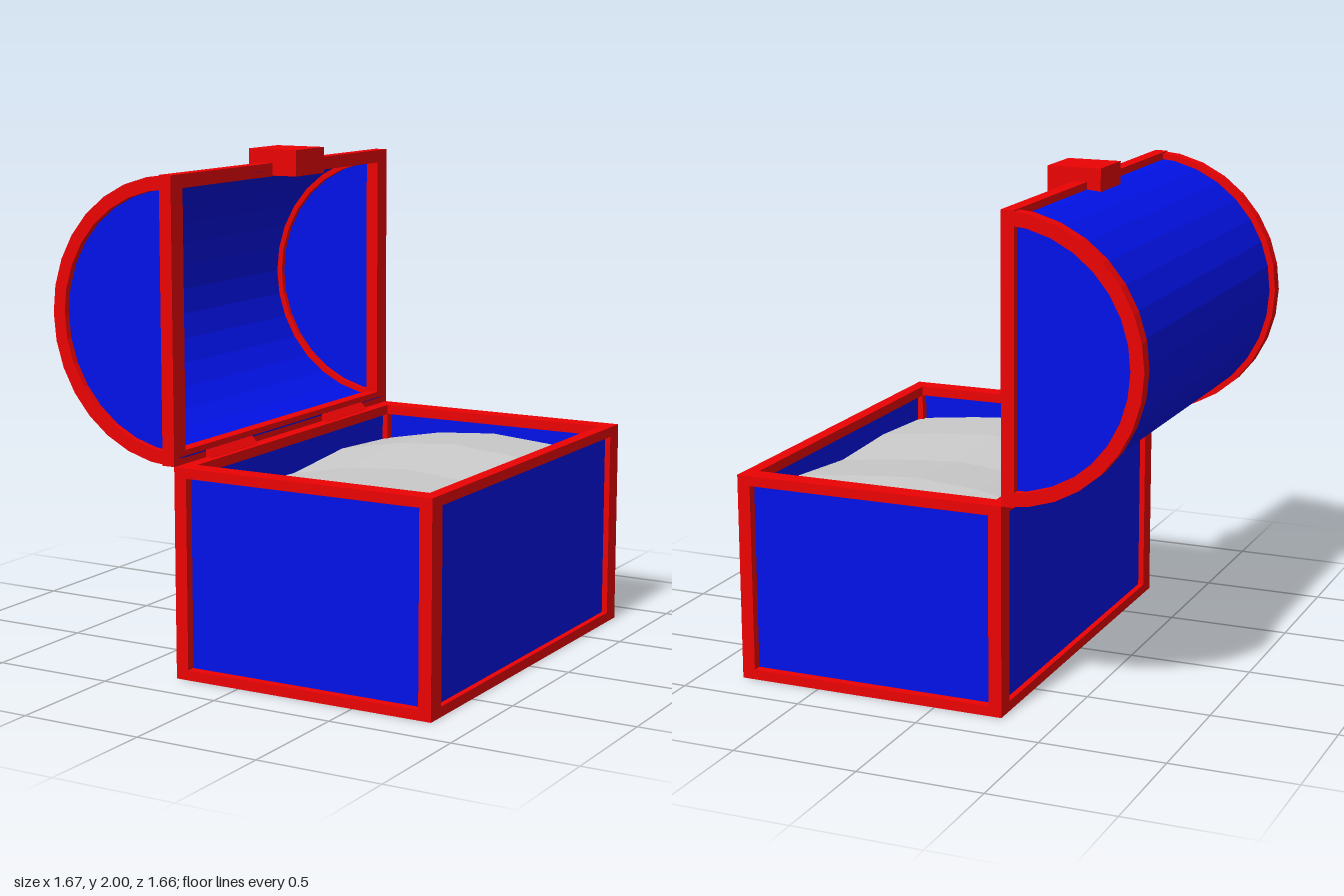
import * as THREE from 'three';

const red = new THREE.MeshStandardMaterial({ color: 0xec0204, flatShading: true });
const blue = new THREE.MeshStandardMaterial({ color: 0x0212e8, flatShading: true });
const grey = new THREE.MeshStandardMaterial({ color: 0xcccccc, flatShading: true, side: THREE.DoubleSide });

function add(parent, name, geometry, material) {
  const mesh = new THREE.Mesh(geometry, material);
  mesh.name = name;
  parent.add(mesh);
  return mesh;
}

// Box given by its lower and upper corners
function block(parent, name, material, [x0, y0, z0], [x1, y1, z1]) {
  const geometry = new THREE.BoxGeometry(x1 - x0, y1 - y0, z1 - z0);
  add(parent, name, geometry, material).position.set((x0 + x1) / 2, (y0 + y1) / 2, (z0 + z1) / 2);
}

const L = -0.28, R = 0.832, H = 0.835, Z = 0.832; // chest extents
const BX = 0.053, BY = 0.04, BZ = 0.08;           // frame bar thickness per axis
const LID_Y = 1.39, LID_R = 0.555;                // axis and radius of the open lid

// Half circle bulging toward -x, from top to bottom
function arc(radius, segments = 16) {
  return Array.from({ length: segments + 1 }, (_, i) => {
    const a = Math.PI / 2 + (Math.PI * i) / segments;
    return new THREE.Vector2(L + radius * Math.cos(a), LID_Y + radius * Math.sin(a));
  });
}

function extrudeZ(parent, name, material, points, z0, z1) {
  const geometry = new THREE.ExtrudeGeometry(new THREE.Shape(points), { depth: z1 - z0, bevelEnabled: false });
  add(parent, name, geometry, material).position.z = z0;
}

const halfRing = (outer, inner) => [...arc(outer), ...arc(inner).reverse()];

function buildChest() {
  const chest = new THREE.Group();
  chest.name = 'chest';
  // Corner posts and the bars of the bottom and top rims
  for (const x of [L, R - BX]) {
    for (const z of [-Z, Z - BZ]) block(chest, 'cornerPost', red, [x, 0, z], [x + BX, H, z + BZ]);
    for (const y of [0, H - BY]) block(chest, 'sideBar', red, [x, y, -Z + BZ], [x + BX, y + BY, Z - BZ]);
  }
  for (const z of [-Z, Z - BZ])
    for (const y of [0, H - BY]) block(chest, 'endBar', red, [L + BX, y, z], [R - BX, y + BY, z + BZ]);

  // Thin panels set into the middle of the bars, with a recessed bottom
  const t = 0.003, top = H - 0.02, floor = 0.038;
  for (const x of [L + BX / 2, R - BX / 2])
    block(chest, 'sidePanel', blue, [x - t, floor, -Z + BZ / 2], [x + t, top, Z - BZ / 2]);
  for (const z of [-Z + BZ / 2, Z - BZ / 2])
    block(chest, 'endPanel', blue, [L + BX / 2, floor, z - t], [R - BX / 2, top, z + t]);
  block(chest, 'bottomPanel', blue, [L + BX / 2, floor - t, -Z + BZ / 2], [R - BX / 2, floor + t, Z - BZ / 2]);
  return chest;
}

function buildLid() {
  const lid = new THREE.Group();
  lid.name = 'lid';
  const y0 = LID_Y - LID_R, y1 = LID_Y + LID_R, b = 0.053;
  // Rectangular rim around the opening
  for (const y of [y0, y1 - b]) block(lid, 'rimBar', red, [L - b, y, -Z], [L, y + b, Z]);
  for (const z of [-Z, Z - BZ]) block(lid, 'rimPost', red, [L - b, y0 + b, z], [L, y1 - b, z + BZ]);
  // Arched end frames, recessed end panels and the barrel
  for (const s of [-1, 1]) {
    const z = s * (Z - 0.0275);
    extrudeZ(lid, 'archFrame', red, halfRing(LID_R, LID_R - b), z - 0.0275, z + 0.0275);
    extrudeZ(lid, 'archPanel', blue, arc(LID_R - 0.03).map(p => new THREE.Vector2(Math.min(p.x, L - 0.025), p.y)),
      s * 0.802 - 0.003, s * 0.802 + 0.003);
  }
  extrudeZ(lid, 'barrel', blue, halfRing(0.531, 0.525), -0.8, 0.8);
  block(lid, 'latch', red, [-0.39, 1.895, -0.11], [-0.17, 2, 0.11]);
  return lid;
}

// Uneven filling: a coarse grid swelling along x and waving along z
function buildFilling() {
  const swell = [0, 0.05, 0.07, 0.05, 0.02];
  const wave = [0.68, 0.7, 0.665, 0.68, 0.66];
  const geometry = new THREE.PlaneGeometry(1.05, 1.57, 4, 4).rotateX(-Math.PI / 2);
  const p = geometry.attributes.position;
  for (let i = 0; i < p.count; i++) p.setY(i, swell[i % 5] + wave[Math.floor(i / 5)]);
  geometry.translate((L + R) / 2, 0, 0);
  geometry.computeVertexNormals();
  return geometry;
}

export function createModel() {
  const model = new THREE.Group();
  model.name = 'openTreasureChest';
  model.add(buildChest(), buildLid());
  add(model, 'filling', buildFilling(), grey);
  // Slanted hinge plates between lid and chest
  for (const s of [-1, 1]) {
    const hinge = add(model, 'hinge', new THREE.BoxGeometry(0.05, 0.025, 0.335), red);
    hinge.position.set(-0.278, 0.845, s * 0.443);
    hinge.rotation.z = -Math.PI / 4;
  }
  return model;
}
